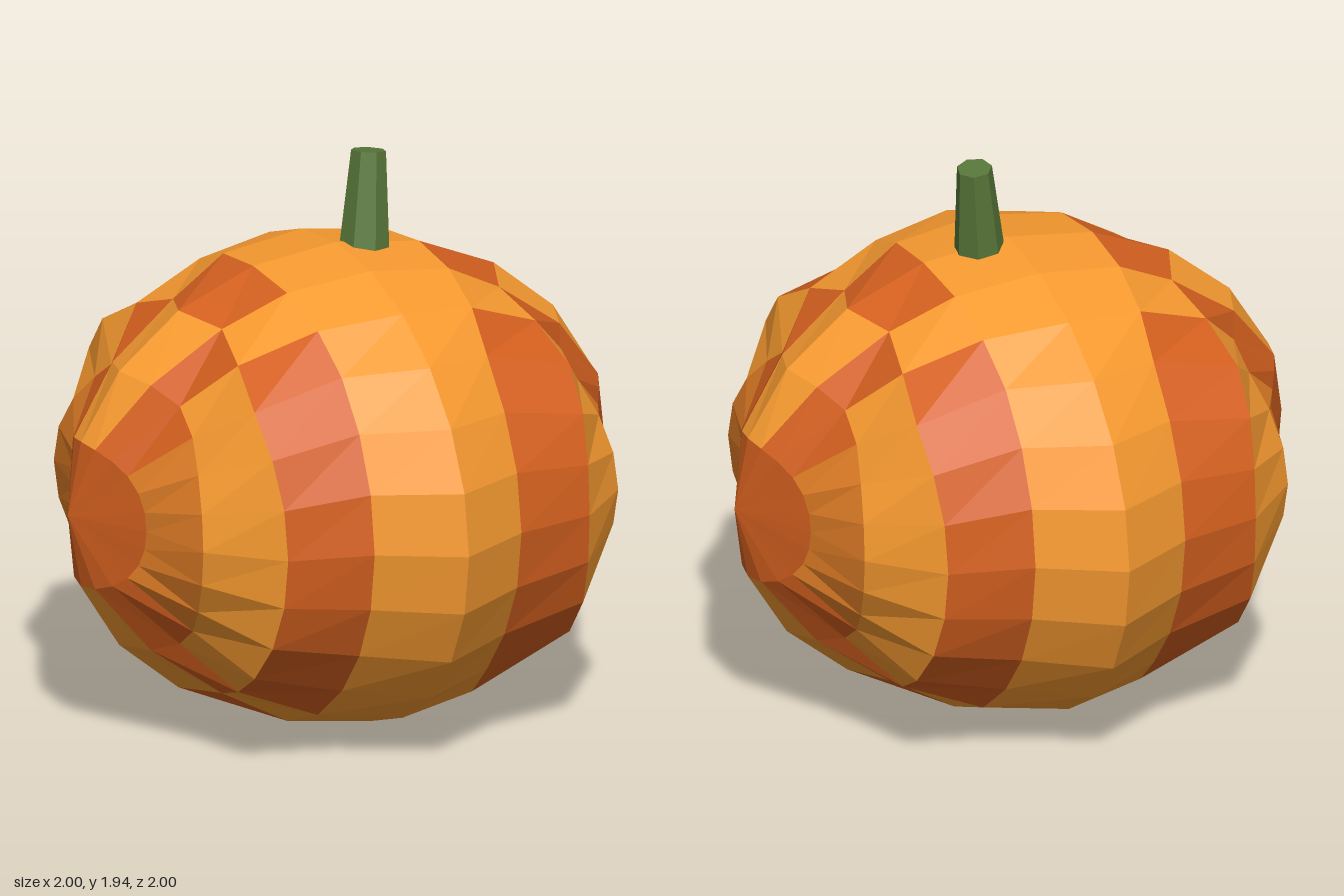
import * as THREE from 'three';

const BANDS = 10, SLICES = 24;
const COLORS = { L: 0xf79a30, M: 0xe88228, D: 0xd4601f };
// Patch tones from the side pole to the middle (rows), and from top to side (letters)
const PATTERN = ['DDDDDD', 'LDDMMM', 'LDLLLL', 'DLDDDD', 'LLLLLL'];

// Squashed sphere with its poles on x and eight ribs around y
function skinPoint(i, j) {
  const t = (i / BANDS) * Math.PI, p = (j / SLICES) * Math.PI * 2;
  const x = Math.cos(t), z = Math.sin(t) * Math.sin(p);
  const rib = 0.937 + 0.063 * Math.cos(8 * Math.atan2(z, x));
  return [x * rib, 0.822 + 0.818 * Math.sin(t) * Math.cos(p), z * rib];
}

function flatMesh(name, geometry, color) {
  const mesh = new THREE.Mesh(geometry, new THREE.MeshStandardMaterial({ color, flatShading: true }));
  mesh.name = name;
  return mesh;
}

export function createModel() {
  const model = new THREE.Group();
  model.name = 'pumpkin';

  // Skin patches, sorted by tone
  const patches = { L: [], M: [], D: [] };
  for (let i = 0; i < BANDS; i++) {
    for (let j = 0; j < SLICES; j++) {
      const column = j % 12;
      const tone = PATTERN[Math.min(i, BANDS - 1 - i)][Math.min(column, 11 - column)];
      const a = skinPoint(i, j), b = skinPoint(i, j + 1);
      const c = skinPoint(i + 1, j + 1), d = skinPoint(i + 1, j);
      if (i < BANDS - 1) patches[tone].push(...a, ...d, ...c);
      if (i > 0) patches[tone].push(...a, ...c, ...b);
    }
  }
  const names = { L: 'lightSkin', M: 'middleSkin', D: 'darkSkin' };
  const skin = new THREE.Group();
  skin.name = 'skin';
  for (const tone of Object.keys(patches)) {
    const geometry = new THREE.BufferGeometry();
    geometry.setAttribute('position', new THREE.Float32BufferAttribute(patches[tone], 3));
    geometry.computeVertexNormals();
    skin.add(flatMesh(names[tone], geometry, COLORS[tone]));
  }
  model.add(skin);

  // Leaning, tapered stem
  const base = new THREE.Vector3(0.105, 1.608, 0), tip = new THREE.Vector3(0.14, 1.932, -0.038);
  const axis = tip.clone().sub(base);
  const stem = flatMesh('stem', new THREE.CylinderGeometry(0.06, 0.086, axis.length(), 7), 0x587639);
  stem.position.copy(base).add(tip).multiplyScalar(0.5);
  stem.quaternion.setFromUnitVectors(new THREE.Vector3(0, 1, 0), axis.normalize());
  model.add(stem);

  return model;
}
